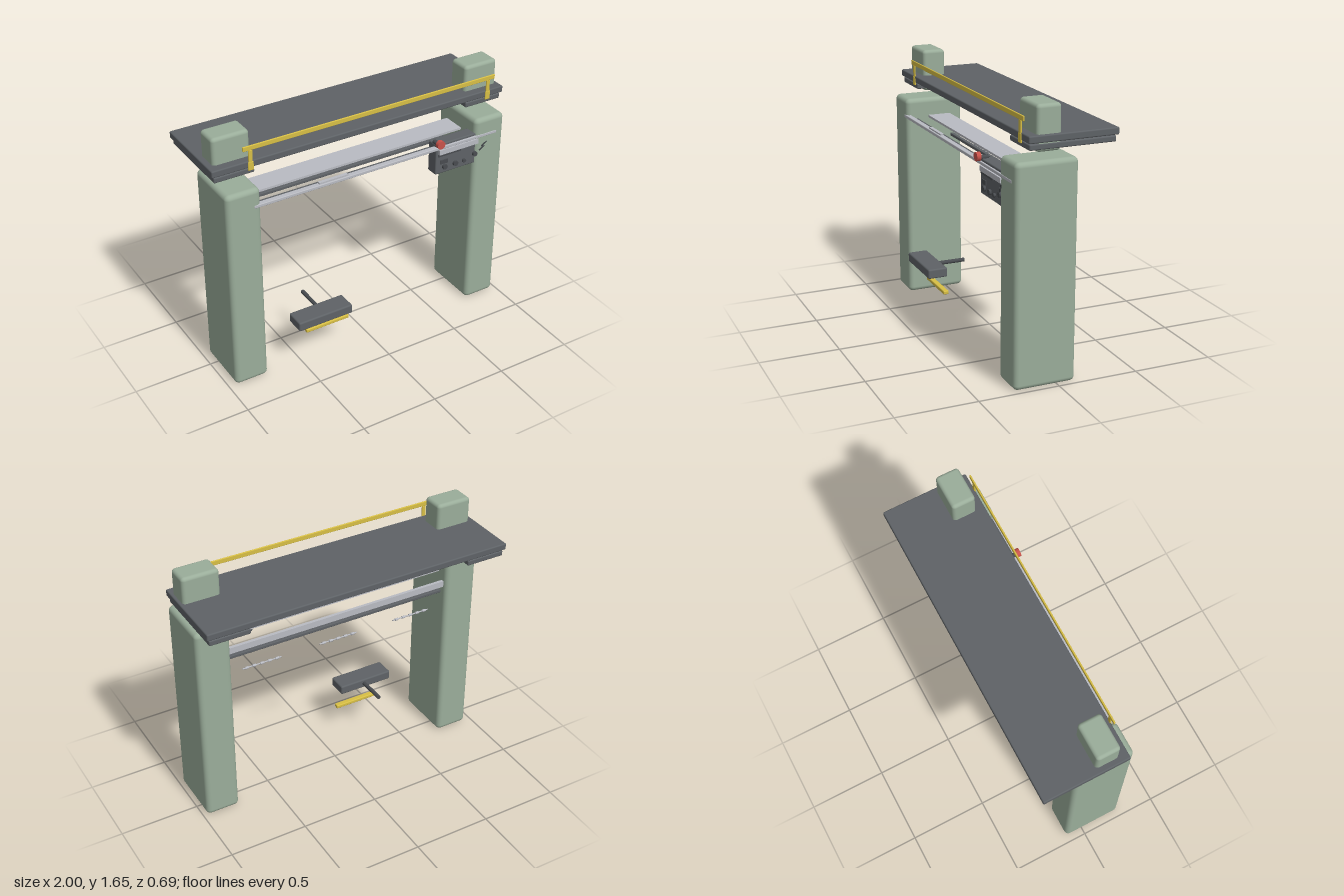
import * as THREE from 'three';
import { RoundedBoxGeometry } from 'three/addons/geometries/RoundedBoxGeometry.js';

const mat = (color) => new THREE.MeshStandardMaterial({ color, side: THREE.DoubleSide });
const green = mat(0x9aad9a), dark = mat(0x5e6266), charcoal = mat(0x494c50);
const yellow = mat(0xd8bf45), light = mat(0xb9bbc2), red = mat(0xc8524a);

export function createModel() {
  const model = new THREE.Group();
  model.name = 'workMachine';

  const add = (name, geometry, material, x, y, z) => {
    const mesh = new THREE.Mesh(geometry, material);
    mesh.name = name;
    mesh.position.set(x, y, z);
    model.add(mesh);
    return mesh;
  };
  // Box given by its extents, rounded when r > 0
  const box = (name, material, [x0, x1], [y0, y1], [z0, z1], r = 0) => {
    const size = [x1 - x0, y1 - y0, z1 - z0];
    const geometry = r ? new RoundedBoxGeometry(...size, 3, r) : new THREE.BoxGeometry(...size);
    return add(name, geometry, material, (x0 + x1) / 2, (y0 + y1) / 2, (z0 + z1) / 2);
  };
  // Cylinders lying along z or along x
  const rodZ = (name, material, x, y, [z0, z1], r) => {
    const mesh = add(name, new THREE.CylinderGeometry(r, r, z1 - z0, 24), material, x, y, (z0 + z1) / 2);
    mesh.rotation.x = Math.PI / 2;
    return mesh;
  };
  const rodX = (name, material, [x0, x1], y, z, r) => {
    const mesh = add(name, new THREE.CylinderGeometry(r, r, x1 - x0, 12), material, (x0 + x1) / 2, y, z);
    mesh.rotation.z = Math.PI / 2;
    return mesh;
  };

  // Pillars, the blocks above them and the pads under the table top
  box('leftPillar', green, [0.757, 0.975], [0, 1.34], [-0.115, 0.27], 0.03);
  box('rightPillar', green, [-0.955, -0.735], [0, 1.34], [-0.115, 0.27], 0.03);
  box('leftTopBlock', green, [0.748, 0.982], [1.39, 1.655], [0, 0.15], 0.022);
  box('rightTopBlock', green, [-0.965, -0.73], [1.39, 1.655], [0, 0.15], 0.022);
  box('leftPad', dark, [0.728, 0.985], [1.405, 1.44], [-0.335, 0.195], 0.008);
  box('rightPad', dark, [-0.985, -0.73], [1.405, 1.44], [-0.335, 0.195], 0.008);
  box('tableTop', dark, [-1, 1], [1.447, 1.49], [-0.345, 0.205], 0.008);

  // Guard rail on the front edge
  box('guardRail', yellow, [-0.805, 0.93], [1.558, 1.588], [0.198, 0.208], 0.004);
  for (const x of [-0.758, 0.882]) {
    box('guardPost', yellow, [x - 0.013, x + 0.013], [1.435, 1.56], [0.198, 0.208], 0.004);
    box('guardFoot', yellow, [x - 0.018, x + 0.018], [1.43, 1.485], [0.199, 0.209], 0.004);
  }

  // Cross members between the pillars
  box('frontLedge', light, [-0.78, 0.92], [1.215, 1.235], [0.238, 0.272], 0.004);
  box('ledgeCover', light, [-0.35, -0.155], [1.234, 1.244], [0.24, 0.262]);
  box('frontBeam', dark, [-0.735, 0.757], [1.188, 1.208], [0.19, 0.215]);
  box('bedPlate', light, [-0.735, 0.757], [1.212, 1.226], [-0.03, 0.12]);
  box('backPlate', light, [-0.735, 0.757], [1.125, 1.165], [-0.085, -0.065]);
  box('lowerBar', dark, [-0.735, 0.757], [1.07, 1.09], [-0.06, -0.035], 0.004);

  // Three short rods at the back, each with small collars
  for (const x of [-0.453, 0.062, 0.577]) {
    rodX('backRod', light, [x - 0.128, x + 0.128], 1.04, -0.145, 0.004);
    for (let i = -2; i <= 2; i++) {
      rodX('rodCollar', light, [x + i * 0.05 - 0.011, x + i * 0.05 + 0.011], 1.04, -0.145, 0.008);
    }
  }

  // Control box with its knobs, display and stop button
  box('controlBox', dark, [0.472, 0.77], [1.04, 1.25], [0.18, 0.262], 0.008);
  box('scalePanel', light, [0.49, 0.78], [1.18, 1.212], [0.258, 0.276]);
  box('panelStrip', charcoal, [0.49, 0.655], [1.163, 1.178], [0.255, 0.268]);
  box('display', charcoal, [0.508, 0.56], [1.108, 1.135], [0.255, 0.268]);
  for (const x of [0.537, 0.617, 0.682]) {
    rodZ('knob', charcoal, x, 1.085, [0.255, 0.276], x > 0.65 ? 0.012 : 0.017);
  }
  rodZ('sideKnob', charcoal, 0.762, 1.11, [0.255, 0.278], 0.016);
  rodZ('stopButton', red, 0.485, 1.263, [0.272, 0.298], 0.027);
  rodZ('stopButtonStem', charcoal, 0.485, 1.255, [0.22, 0.274], 0.014);

  // Small levers beside the control box
  [[0.80, 1.15], [0.815, 1.175]].forEach(([x, y]) => {
    const lever = add('lever', new THREE.CylinderGeometry(0.004, 0.004, 0.045, 8), charcoal, x, y, 0.287);
    lever.rotation.set(0.35, 0, -0.7);
  });

  // Foot pedal with its arm, and the foot bar
  box('footPedal', dark, [-0.55, -0.175], [0.295, 0.357], [0.215, 0.345], 0.01);
  rodZ('pedalArm', charcoal, -0.35, 0.328, [0.03, 0.23], 0.013);
  box('footBar', yellow, [-0.45, -0.145], [0.187, 0.211], [0.22, 0.255], 0.006);

  return model;
}
